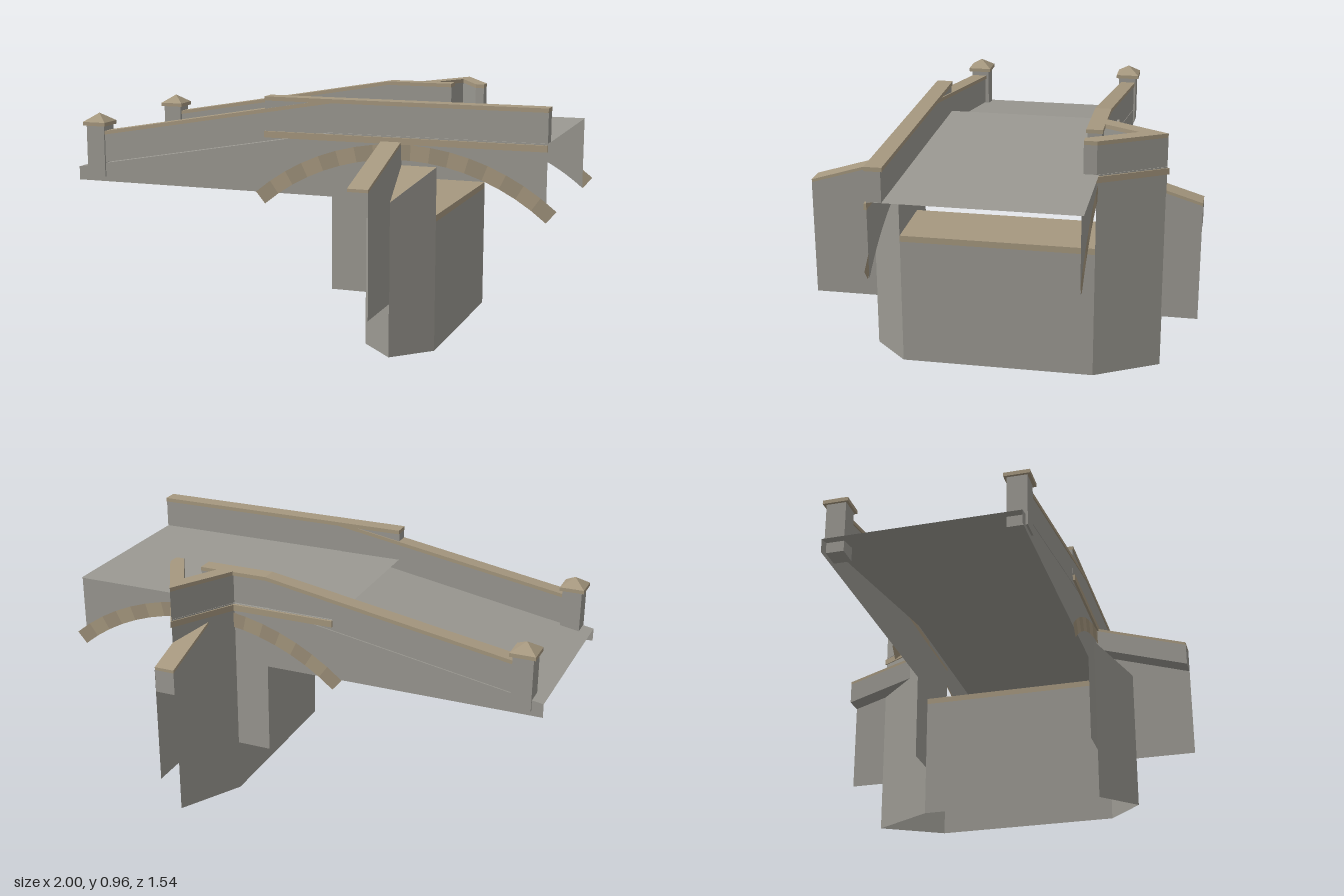
import * as THREE from 'three';

export function createModel() {
  const model = new THREE.Group();
  const material = (color) => new THREE.MeshStandardMaterial({ color, side: THREE.DoubleSide, flatShading: true });
  const stone = material(0x9b9992);
  const trim = material(0xa6987f);
  const trimDark = material(0x9c8f78);

  const add = (name, geometry, mat = stone) => {
    const mesh = new THREE.Mesh(geometry, mat);
    mesh.name = name;
    model.add(mesh);
    return mesh;
  };
  const shapeOf = (pts) => new THREE.Shape(pts.map(([a, b]) => new THREE.Vector2(a, b)));
  const extrude = (pts, depth) => new THREE.ExtrudeGeometry(shapeOf(pts), { depth, bevelEnabled: false });
  // Box given by its limits
  const box = (name, x0, x1, y0, y1, z0, z1, mat) =>
    add(name, new THREE.BoxGeometry(x1 - x0, y1 - y0, z1 - z0), mat)
      .position.set((x0 + x1) / 2, (y0 + y1) / 2, (z0 + z1) / 2);
  // Side profile (x, y) extruded from z0 to z1
  const profile = (name, pts, z0, z1, mat) =>
    add(name, extrude(pts, z1 - z0).translate(0, 0, z0), mat);
  // Plan outline (x, z) extruded from y0 to y1
  const plan = (name, pts, y0, y1, mat) =>
    add(name, extrude(pts.map(([x, z]) => [x, -z]), y1 - y0).rotateX(-Math.PI / 2).translate(0, y0, 0), mat);
  // Flat polygon panels from corner points, fanned into triangles
  const panel = (name, pts, mat) => {
    const v = [];
    for (let i = 1; i < pts.length - 1; i++) v.push(...pts[0], ...pts[i], ...pts[i + 1]);
    const g = new THREE.BufferGeometry();
    g.setAttribute('position', new THREE.Float32BufferAttribute(v, 3));
    g.computeVertexNormals();
    return add(name, g, mat);
  };

  // Roadway: sloping approach and level deck, both thin sheets
  const W = 0.38;
  panel('approachRamp', [[-1, 0.635, W], [0.12, 0.83, W], [0.12, 0.83, -W], [-1, 0.635, -W]]);
  panel('deck', [[-0.16, 0.83, W], [0.96, 0.83, W], [0.96, 0.83, -W - 0.008], [-0.16, 0.83, -W - 0.008]]);
  panel('refugeFloor', [[0.26, 0.83, -W], [0.54, 0.83, -W], [0.4, 0.83, -0.63]]);

  // Arch circle shared by the walls and voussoirs
  const cx = 0.4, cy = -0.13, rIn = 0.87, rOut = 0.93;
  const archY = (x) => cy + Math.sqrt(rIn * rIn - (x - cx) ** 2);
  const wall = [[-1, 0.58], [0.12, 0.58], [0.12, 0.21], [0.54, 0.21]];
  for (let i = 0; i <= 12; i++) {
    const x = 0.54 + (0.42 * i) / 12;
    wall.push([x, archY(x)]);
  }
  wall.push([0.96, 0.83], [0.12, 0.83], [-1, 0.635]);

  const half = Math.asin(0.6 / rOut), count = 17;
  for (const s of [1, -1]) {
    const side = s > 0 ? 'front' : 'back';
    const span = (a, b) => (s > 0 ? [a, b] : [-b, -a]);

    // Spandrel wall
    add(side + 'SpandrelWall', new THREE.ShapeGeometry(shapeOf(wall)).translate(0, 0, s * W));

    // Ring of flat voussoirs laid on the wall face, in two alternating tones
    for (let i = 0; i < count; i++) {
      const a0 = -half + (2 * half * i) / count, a1 = -half + (2 * half * (i + 1)) / count;
      const p = (r, a) => [cx + r * Math.sin(a), cy + r * Math.cos(a), s * (W + 0.005)];
      const corners = [p(rIn, a0), p(rIn, a1), p(rOut, a1), p(rOut, a0)];
      panel(side + 'Voussoir', s > 0 ? corners : corners.reverse(), i % 2 ? trim : trimDark);
    }

    // Sloping parapet and its coping
    profile(side + 'RampParapet', [[-0.92, 0.652], [0.12, 0.833], [0.12, 0.945], [-0.92, 0.767]], ...span(0.325, W));
    profile(side + 'RampCoping', [[-0.92, 0.767], [0.12, 0.945], [0.12, 0.96], [-0.92, 0.782]], ...span(0.32, W + 0.004), trim);

    // End post with a pyramid cap
    box(side + 'Post', -0.955, -0.875, 0.6, 0.81, ...span(0.31, 0.388));
    box(side + 'PostCap', -0.965, -0.865, 0.81, 0.825, ...span(0.3, 0.4), trim);
    add(side + 'PostPyramid', new THREE.ConeGeometry(0.0707, 0.035, 4).rotateY(Math.PI / 4), trim)
      .position.set(-0.915, 0.8425, s * 0.35);

    // Raking buttress: beam, trim top and one deep side panel
    const rake = (name, pts, mat) =>
      add(name, extrude(pts.map(([z, y]) => [s * z, y]), 0.08).rotateY(-Math.PI / 2).translate(0.4, 0, 0), mat);
    rake(side + 'ButtressBeam', [[W, 0.71], [0.77, 0.59], [0.77, 0.68], [W, 0.8]]);
    rake(side + 'ButtressCoping', [[W, 0.8], [0.77, 0.68], [0.77, 0.692], [W, 0.812]], trim);
    panel(side + 'ButtressPanel', [[0.401, 0.21, s * W], [0.401, 0.21, s * 0.77], [0.401, 0.68, s * 0.77], [0.401, 0.8, s * W]]);
  }

  // Level parapet, coping and string course of the front side
  box('frontParapet', -0.16, 0.96, 0.831, 0.945, 0.325, W + 0.001);
  box('frontCoping', -0.16, 0.96, 0.945, 0.961, 0.32, W + 0.005, trim);
  box('frontStringCourse', -0.16, 0.96, 0.8, 0.825, W, W + 0.01, trim);

  // Back side: short level parapet leading to the pointed refuge
  box('backParapet', 0.12, 0.4, 0.831, 0.945, -W, -0.325);
  box('backCoping', 0.12, 0.4, 0.945, 0.96, -W - 0.004, -0.32, trim);
  box('backStringCourse', -0.16, 0.27, 0.8, 0.825, -W - 0.01, -W, trim);
  const refuge = [[0.26, -0.38], [0.4, -0.63], [0.54, -0.38], [0.54, -0.33], [0.505, -0.33], [0.4, -0.52], [0.325, -0.38]];
  plan('refugeParapet', refuge, 0.831, 0.945);
  plan('refugeCoping', refuge, 0.945, 0.961, trim);
  plan('refugeStringCourse', [[0.253, -0.38], [0.4, -0.638], [0.547, -0.38]], 0.8, 0.825, trim);

  // Pier with pointed cutwaters, walled all round and open below: [x, z, top]
  const walls = [
    [[0.54, W, 0.51], [0.54, -W, 0.51]],
    [[0.54, -W, 0.83], [0.4, -0.63, 0.83]],
    [[0.4, -0.63, 0.83], [0.26, -W, 0.83]],
    [[0.26, -W, 0.51], [0.26, W, 0.51]],
    [[0.26, W, 0.72], [0.4, 0.52, 0.6]],
    [[0.4, 0.52, 0.6], [0.54, W, 0.72]],
  ];
  for (const [[xa, za, ta], [xb, zb, tb]] of walls)
    panel('pierWall', [[xa, 0, za], [xb, 0, zb], [xb, tb, zb], [xa, ta, za]]);
  panel('pierInnerPanel', [[0.401, 0.21, W], [0.401, 0.21, -W], [0.401, 0.51, -W], [0.401, 0.51, W]]);
  panel('cutwaterCap', [[0.26, 0.72, W], [0.4, 0.6, 0.52], [0.54, 0.72, W]], trim);
  box('pierCap', 0.26, 0.54, 0.51, 0.535, -W, W, trim);

  return model;
}
